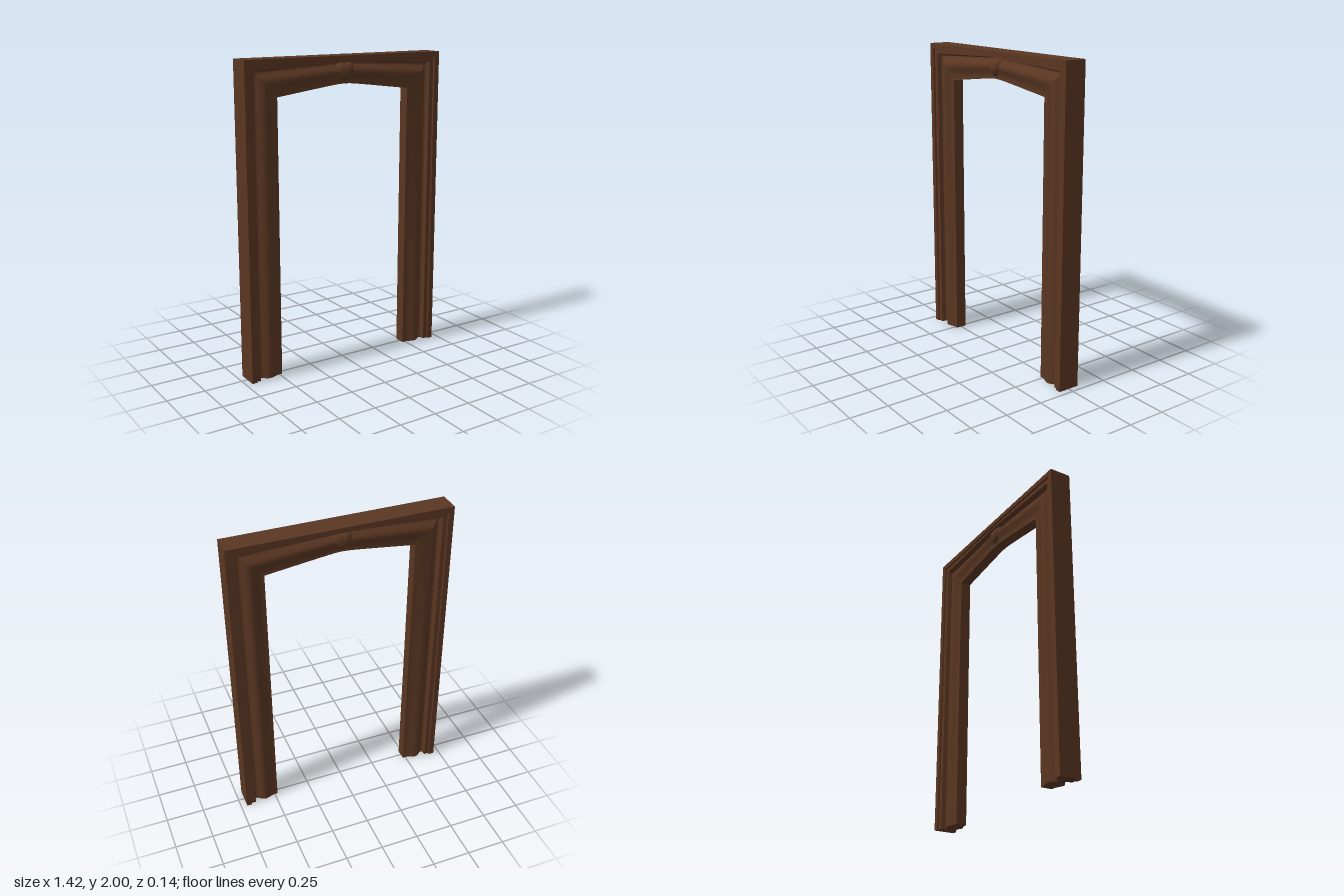
import * as THREE from 'three';
import { toCreasedNormals } from 'three/addons/utils/BufferGeometryUtils.js';

const HALF_WIDTH = 0.71, HEIGHT = 2, TRIM = 0.23;

// Moulding section: [distance in from the outer edge, depth from the middle plane]
function mouldingProfile() {
  const front = [[0, 0.071], [0.035, 0.071], [0.037, 0.058], [0.066, 0.058], [0.072, 0.03], [0.08, 0.024], [0.09, 0.026]];
  for (let i = 0; i <= 10; i++) {
    const t = i / 10;
    // rounded shoulder easing down to the inner edge
    const rise = Math.sin(Math.min(1, t / 0.35) * Math.PI / 2);
    const fall = THREE.MathUtils.smoothstep(t, 0.3, 0.85);
    front.push([0.095 + t * (TRIM - 0.095), 0.03 + 0.026 * rise - 0.02 * fall]);
  }
  const back = front.map(([u, z]) => [u, -z]).reverse();
  return [...front, ...back];
}

// Height of the lintel section at its middle, where the moulding is narrower
function crownHeight(u) {
  const knots = [[0, 2], [0.035, 1.972], [0.075, 1.957], [TRIM, 1.827]];
  let k = 1;
  while (k < knots.length - 1 && u > knots[k][0]) k++;
  const [u0, y0] = knots[k - 1], [u1, y1] = knots[k];
  return y0 + (y1 - y0) * (u - u0) / (u1 - u0);
}

// Sweep the section up one post, across the arched lintel and down the other
function frameGeometry() {
  const profile = mouldingProfile(), n = profile.length;
  const stations = [{ s: 1, foot: true }];
  const steps = 24;
  for (let i = 0; i <= steps; i++) stations.push({ s: 1 - 2 * i / steps, foot: false });
  stations.push({ s: -1, foot: true });

  const positions = [], index = [];
  for (const { s, foot } of stations) {
    const arch = 1 - (Math.hypot(s, 0.1) - 0.1) / (Math.hypot(1, 0.1) - 0.1);
    for (const [u, z] of profile) {
      const y = foot ? 0 : THREE.MathUtils.lerp(HEIGHT - u, crownHeight(u), arch);
      positions.push(s * (HALF_WIDTH - u), y, z);
    }
  }
  for (let i = 0; i < stations.length - 1; i++) {
    for (let j = 0; j < n; j++) {
      const a = i * n + j, b = i * n + (j + 1) % n;
      index.push(a, a + n, b + n, a, b + n, b);
    }
  }
  // feet
  const last = (stations.length - 1) * n;
  const caps = THREE.ShapeUtils.triangulateShape(profile.map(([u, z]) => new THREE.Vector2(u, z)), []);
  for (const [a, b, c] of caps) index.push(a, c, b, last + a, last + b, last + c);

  const geometry = new THREE.BufferGeometry();
  geometry.setAttribute('position', new THREE.Float32BufferAttribute(positions, 3));
  geometry.setIndex(index);
  return toCreasedNormals(geometry, 0.5);
}

// Domed heart showing on both faces, shaped from a sphere
function heartGeometry() {
  const geometry = new THREE.SphereGeometry(1, 40, 28);
  geometry.rotateX(Math.PI / 2);
  const p = geometry.attributes.position;
  for (let i = 0; i < p.count; i++) {
    const x = p.getX(i), y = p.getY(i), z = p.getZ(i);
    p.setXYZ(i, x * 0.063, y * 0.056 + Math.abs(x) * 0.026 - 0.008, Math.sign(z) * Math.sqrt(Math.abs(z)) * 0.069);
  }
  geometry.computeVertexNormals();
  return geometry;
}

export function createModel() {
  const group = new THREE.Group();
  group.name = 'doorFrame';
  const wood = new THREE.MeshStandardMaterial({ color: 0x5a3622 });
  wood.name = 'dark wood';

  const frame = new THREE.Mesh(frameGeometry(), wood);
  frame.name = 'mouldedFrame';

  const heart = new THREE.Mesh(heartGeometry(), wood);
  heart.name = 'heartOrnament';
  heart.position.y = 1.903;

  group.add(frame, heart);
  return group;
}
